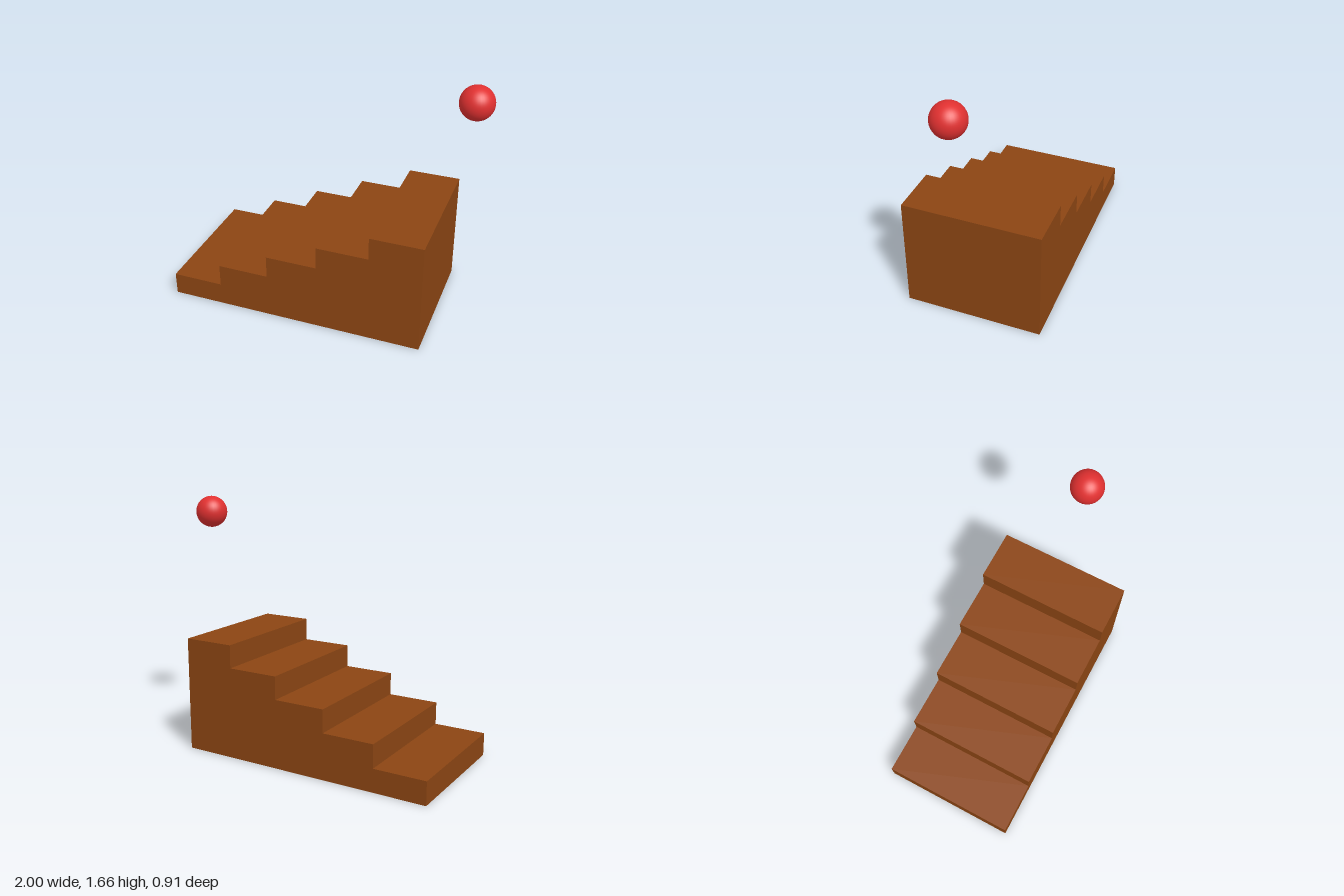
import * as THREE from 'three';

const STEPS = 5, RUN = 0.3476, RISE = 0.153, DEPTH = 0.912, START = -1;

export function createModel() {
  const model = new THREE.Group();
  model.name = 'stairsAndBall';

  // Solid staircase: stepped side profile extruded along z
  const profile = new THREE.Shape();
  profile.moveTo(START, 0);
  for (let i = 0; i < STEPS; i++) {
    profile.lineTo(START + i * RUN, (i + 1) * RISE);
    profile.lineTo(START + (i + 1) * RUN, (i + 1) * RISE);
  }
  profile.lineTo(START + STEPS * RUN, 0);
  profile.closePath();
  const stairGeometry = new THREE.ExtrudeGeometry(profile, { depth: DEPTH, bevelEnabled: false });
  stairGeometry.translate(0, 0, -DEPTH / 2);
  const staircase = new THREE.Mesh(stairGeometry, new THREE.MeshStandardMaterial({ color: 0x8b4513 }));
  staircase.name = 'staircase';
  model.add(staircase);

  // Ball floating beyond the top step
  const ball = new THREE.Mesh(
    new THREE.SphereGeometry(0.107, 32, 32),
    new THREE.MeshStandardMaterial({ color: 0xe03030 })
  );
  ball.name = 'ball';
  ball.position.set(0.893, 1.555, 0.025);
  model.add(ball);

  return model;
}
